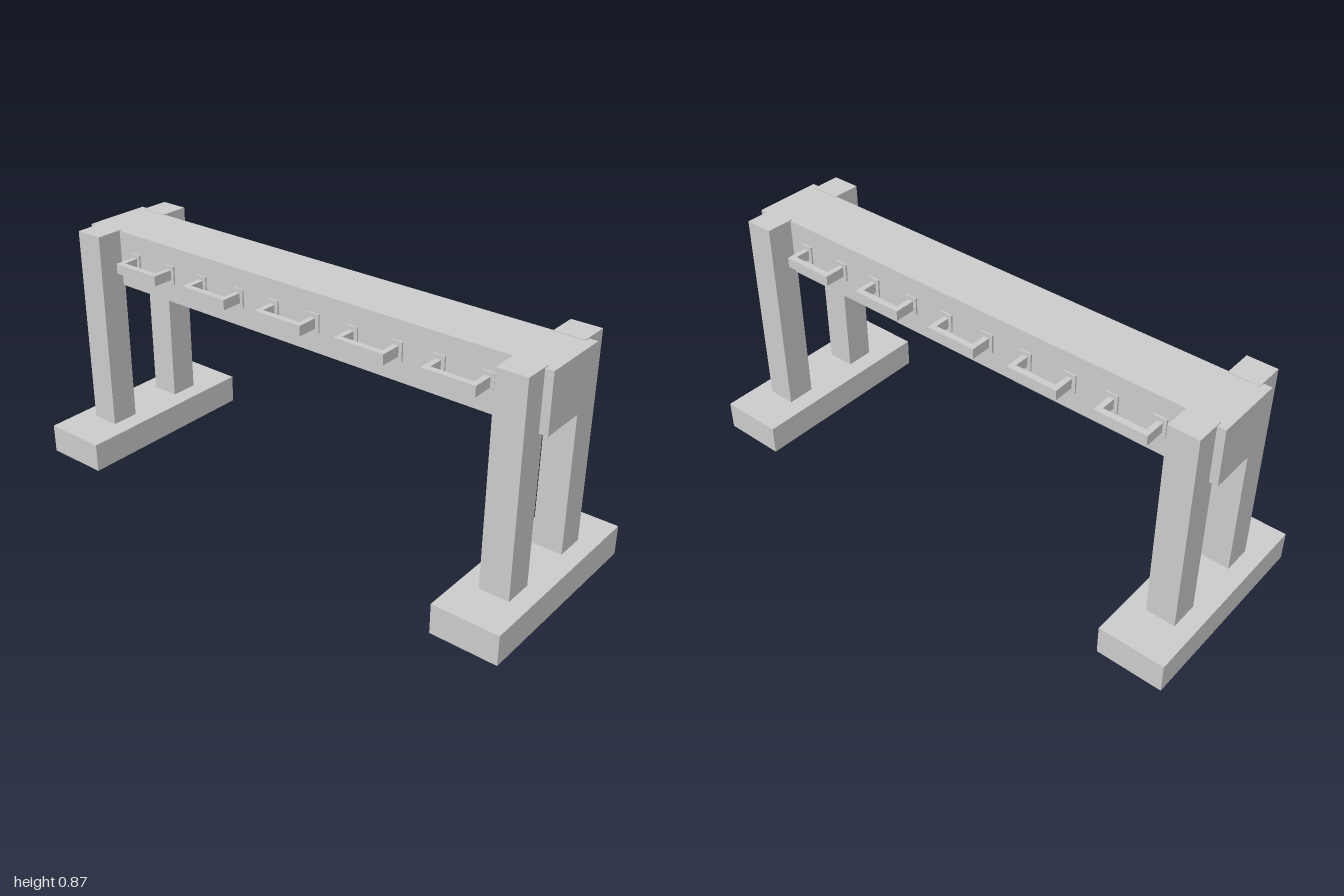
import * as THREE from 'three';

const material = new THREE.MeshStandardMaterial({ color: 0xcccccc, flatShading: true });

// Box given by its lower and upper limits on each axis
function block(parent, name, [x0, x1], [y0, y1], [z0, z1]) {
  const mesh = new THREE.Mesh(new THREE.BoxGeometry(x1 - x0, y1 - y0, z1 - z0), material);
  mesh.position.set((x0 + x1) / 2, (y0 + y1) / 2, (z0 + z1) / 2);
  mesh.name = name;
  parent.add(mesh);
}

// Mirrored interval for the side s = 1 or -1
const span = (s, a, b) => (s > 0 ? [a, b] : [-b, -a]);

// U-shaped grip with a mounting plate at each leg
function createHandle(side, z) {
  const handle = new THREE.Group();
  handle.name = side > 0 ? 'leftHandle' : 'rightHandle';
  const y = [0.745, 0.782];
  block(handle, 'handleGrip', span(side, 0.177, 0.2), y, [z - 0.097, z + 0.097]);
  for (const end of [-1, 1]) {
    const legZ = end > 0 ? [z + 0.077, z + 0.097] : [z - 0.097, z - 0.077];
    block(handle, 'handleLeg', span(side, 0.11, 0.177), y, legZ);
    block(handle, 'handlePlate', span(side, 0.11, 0.121), [0.73, 0.797],
      [legZ[0] - 0.013, legZ[1] + 0.013]);
  }
  return handle;
}

export function createModel() {
  const model = new THREE.Group();
  model.name = 'handleBeamStand';

  // Long beam
  block(model, 'beam', [-0.115, 0.115], [0.657, 0.867], [-0.935, 0.935]);

  // End frames: foot, two posts and the wider beam end
  for (const end of [1, -1]) {
    const frame = new THREE.Group();
    frame.name = end > 0 ? 'frontFrame' : 'backFrame';
    block(frame, 'foot', [-0.373, 0.373], [0, 0.11], span(end, 0.757, 1));
    block(frame, 'beamEnd', [-0.128, 0.128], [0.657, 0.867], span(end, 0.935, 0.965));
    for (const side of [1, -1]) {
      block(frame, side > 0 ? 'leftPost' : 'rightPost',
        span(side, 0.107, 0.215), [0.11, 0.87], span(end, 0.827, 0.935));
    }
    model.add(frame);
  }

  // Rows of handles on both sides
  for (const side of [1, -1]) {
    for (let i = -2; i <= 2; i++) model.add(createHandle(side, i * 0.331));
  }
  return model;
}
